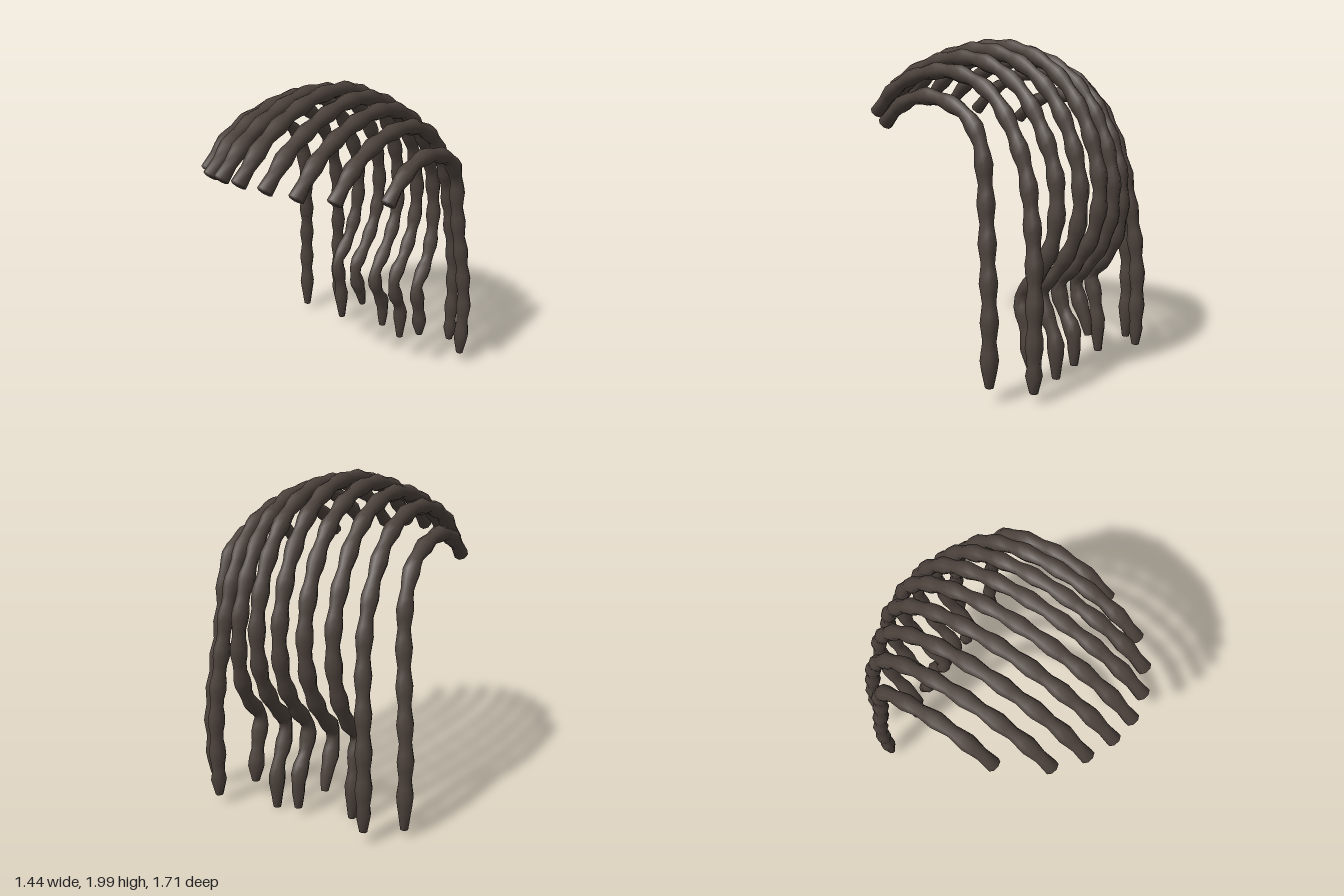
import * as THREE from 'three';
import { mergeVertices } from 'three/addons/utils/BufferGeometryUtils.js';

const SIDES = 8;

// Crown profiles as [z, y], from the centre strand outwards
const CROWNS = [
  [[0.825, 1.61], [0.62, 1.78], [0.35, 1.9], [0.05, 1.95], [-0.25, 1.91], [-0.5, 1.77], [-0.68, 1.55], [-0.78, 1.3], [-0.81, 1.1], [-0.77, 0.87]],
  [[0.8, 1.6], [0.6, 1.76], [0.34, 1.87], [0.04, 1.925], [-0.25, 1.88], [-0.5, 1.74], [-0.67, 1.53], [-0.77, 1.28], [-0.795, 1.08], [-0.76, 0.87]],
  [[0.73, 1.57], [0.54, 1.73], [0.3, 1.83], [0.02, 1.875], [-0.25, 1.83], [-0.48, 1.69], [-0.63, 1.49], [-0.73, 1.25], [-0.755, 1.05], [-0.73, 0.85]],
  [[0.6, 1.54], [0.45, 1.67], [0.25, 1.76], [0, 1.795], [-0.22, 1.76], [-0.42, 1.65], [-0.56, 1.47], [-0.66, 1.24], [-0.71, 1.0], [-0.745, 0.75]],
  [[0.325, 1.485], [0.2, 1.585], [0, 1.65], [-0.2, 1.625], [-0.38, 1.54], [-0.47, 1.4], [-0.505, 1.2], [-0.53, 1.0], [-0.565, 0.75]],
];

// Strands from right to left: crown x, tip x, tip y, tip z
const STRANDS = [
  [-0.61, -0.67, 0.05, -0.58], [-0.46, -0.505, 0.08, -0.76],
  [-0.31, -0.34, 0.04, -0.59], [-0.16, -0.18, 0.19, -0.63],
  [-0.01, -0.01, 0.05, -0.65], [0.15, 0.15, 0.01, -0.64],
  [0.3, 0.335, 0.12, -0.6], [0.45, 0.495, 0.06, -0.76], [0.605, 0.665, 0.095, -0.59],
];

function strandGeometry(points) {
  const curve = new THREE.CatmullRomCurve3(points);
  const length = curve.getLength();
  const n = Math.round(length / 0.052);
  const geo = new THREE.TubeGeometry(curve, n, 1, SIDES, false);
  const pos = geo.attributes.position;
  const centres = curve.getSpacedPoints(n);
  const v = new THREE.Vector3();
  for (let i = 0; i <= n; i++) {
    const centre = centres[i];
    // Regular swellings along the strand
    let radius = 0.045 + 0.007 * Math.cos((2 * Math.PI * i * length) / n / 0.21);
    const c = centre.clone();
    if (i === 0 || i === n) radius = 0;               // closed ends
    if (i === 1) c.lerp(centres[0], 0.95);            // blunt front cut
    if (i === n - 1) { c.lerp(centres[n], 0.9); radius = 0.024; } // tapered tip
    for (let j = 0; j <= SIDES; j++) {
      const k = i * (SIDES + 1) + j;
      v.fromBufferAttribute(pos, k).sub(centre).multiplyScalar(radius).add(c);
      pos.setXYZ(k, v.x, v.y, v.z);
    }
  }
  geo.deleteAttribute('uv');
  geo.deleteAttribute('normal');
  const welded = mergeVertices(geo, 1e-5);
  welded.computeVertexNormals();
  return welded;
}

export function createModel() {
  const group = new THREE.Group();
  group.name = 'hairStrands';
  const darkBrown = new THREE.MeshStandardMaterial({ color: 0x4c423c });
  darkBrown.name = 'darkBrown';

  STRANDS.forEach(([crownX, tipX, tipY, tipZ], index) => {
    const ring = Math.abs(index - 4);
    const profile = CROWNS[ring].slice();
    // Inner strands kink forward at the nape, outer ones hang straight
    if (ring < 3) profile.push([-0.655, 0.68], [-0.53, 0.53], [-0.555, 0.4], [tipZ + 0.015, 0.26]);
    else profile.push([tipZ, 0.5], [tipZ, 0.28]);
    profile.push([tipZ, tipY]);
    const points = profile.map(([z, y]) => {
      const t = 1 - THREE.MathUtils.smoothstep(y, 0.45, 1.3);
      return new THREE.Vector3(THREE.MathUtils.lerp(crownX, tipX, t), y, z);
    });
    const strand = new THREE.Mesh(strandGeometry(points), darkBrown);
    strand.name = `strand${index + 1}`;
    group.add(strand);
  });
  return group;
}
